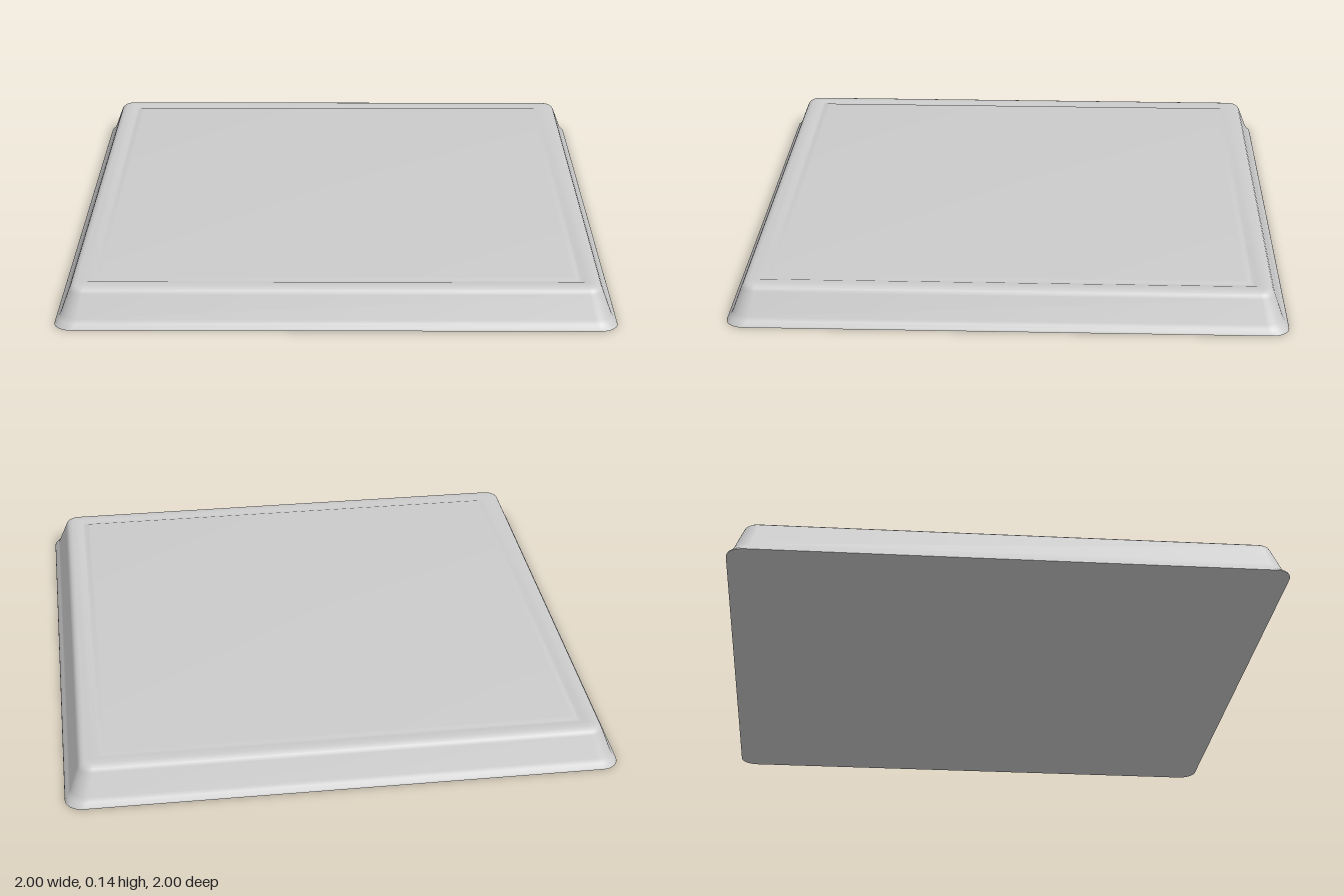
import * as THREE from 'three';
import { toCreasedNormals } from 'three/addons/utils/BufferGeometryUtils.js';

const CORNER_STEPS = 8;

// Rounded square outline at height y: half-width s, corner radius r
function ring(s, y, r) {
  const points = [];
  for (let corner = 0; corner < 4; corner++) {
    const mid = Math.PI / 4 + corner * Math.PI / 2;
    const cx = Math.sign(Math.cos(mid)) * (s - r);
    const cz = Math.sign(Math.sin(mid)) * (s - r);
    for (let k = 0; k <= CORNER_STEPS; k++) {
      const a = (corner + k / CORNER_STEPS) * Math.PI / 2;
      points.push(cx + r * Math.cos(a), y, cz + r * Math.sin(a));
    }
  }
  return points;
}

// Skin consecutive outlines, closing the first and last with flat caps
function loft(profile) {
  const n = 4 * (CORNER_STEPS + 1);
  const positions = profile.flatMap(([s, y, r]) => ring(s, y, r));
  const bottom = profile.length * n, top = bottom + 1;
  positions.push(0, profile[0][1], 0, 0, profile[profile.length - 1][1], 0);
  const index = [];
  for (let j = 0; j < n; j++) {
    const k = (j + 1) % n;
    index.push(bottom, j, k);
    for (let i = 0; i < profile.length - 1; i++) {
      const a = i * n + j, b = i * n + k;
      index.push(a, a + n, b, b, a + n, b + n);
    }
    const last = (profile.length - 1) * n;
    index.push(top, last + k, last + j);
  }
  const geometry = new THREE.BufferGeometry();
  geometry.setAttribute('position', new THREE.Float32BufferAttribute(positions, 3));
  geometry.setIndex(index);
  return toCreasedNormals(geometry, 0.6);
}

export function createModel() {
  const group = new THREE.Group();
  group.name = 'squareBase';
  const material = new THREE.MeshStandardMaterial({ color: 0xcccccc });

  // Half-width, height, corner radius from the foot up to the top panel
  const profile = [
    [1, 0, 0.065],
    [0.998, 0.006, 0.065],
    [0.986, 0.018, 0.063],
    [0.978, 0.034, 0.062],
    [0.947, 0.116, 0.05],
    [0.941, 0.128, 0.045],
    [0.932, 0.135, 0.038],
    [0.92, 0.138, 0.03],
    // Shallow square groove framing the panel
    [0.889, 0.138, 0.002],
    [0.875, 0.133, 0.002],
    [0.866, 0.133, 0.002],
    [0.856, 0.137, 0.002],
    [0.845, 0.138, 0.002],
  ];
  const plinth = new THREE.Mesh(loft(profile), material);
  plinth.name = 'bevelledPlinth';
  group.add(plinth);
  return group;
}
